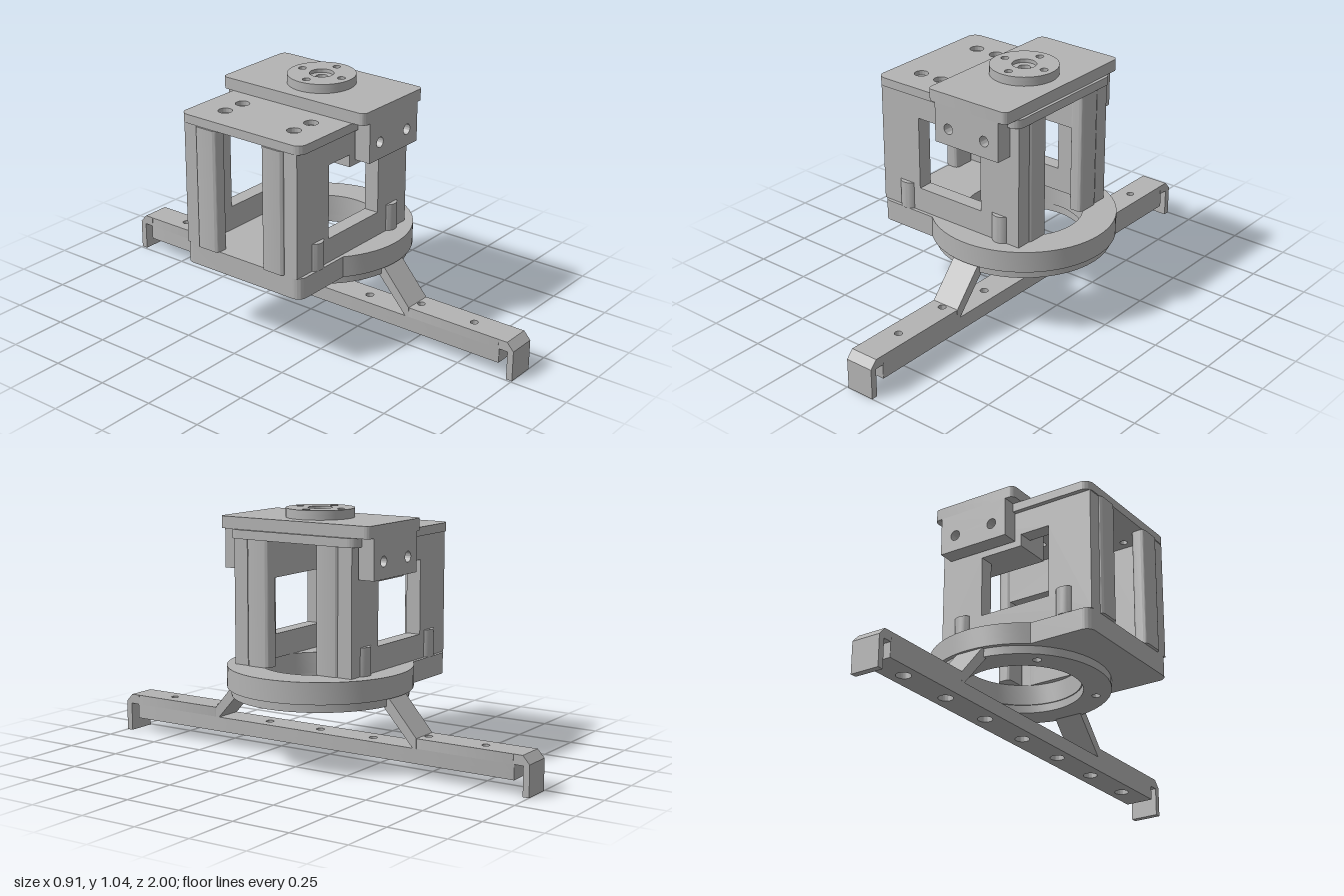
import * as THREE from 'three';
import { toCreasedNormals } from 'three/addons/utils/BufferGeometryUtils.js';

const CX = 0.07; // axis of the ring and the turning disc

export function createModel() {
  const model = new THREE.Group();
  const grey = new THREE.MeshStandardMaterial({ color: 0xb3b3b3 });
  grey.name = 'machined grey';

  const add = (name, geo) => {
    const mesh = new THREE.Mesh(toCreasedNormals(geo, 0.5), grey);
    mesh.name = name;
    model.add(mesh);
    return mesh;
  };
  const extrude = (shape, depth) =>
    new THREE.ExtrudeGeometry(shape, { depth, bevelEnabled: false, curveSegments: 24 });

  // holes are [x, y, radius]
  const drill = (shape, holes) => {
    for (const [x, y, r] of holes) shape.holes.push(new THREE.Path().absarc(x, y, r, 0, Math.PI * 2, true));
    return shape;
  };
  const roundRect = (x0, x1, y0, y1, r) => {
    const s = new THREE.Shape();
    s.moveTo(x0 + r, y0);
    s.lineTo(x1 - r, y0);
    s.absarc(x1 - r, y0 + r, r, -Math.PI / 2, 0, false);
    s.lineTo(x1, y1 - r);
    s.absarc(x1 - r, y1 - r, r, 0, Math.PI / 2, false);
    s.lineTo(x0 + r, y1);
    s.absarc(x0 + r, y1 - r, r, Math.PI / 2, Math.PI, false);
    s.lineTo(x0, y0 + r);
    s.absarc(x0 + r, y0 + r, r, Math.PI, Math.PI * 1.5, false);
    return s;
  };
  const disc = (r) => new THREE.Shape().absarc(CX, 0, r, 0, Math.PI * 2, false);
  const polygon = (pts) => new THREE.Shape(pts.map(([x, y]) => new THREE.Vector2(x, y)));

  // horizontal slab from a plan outline
  const slab = (name, shape, y0, y1) =>
    add(name, extrude(shape, y1 - y0).rotateX(-Math.PI / 2).translate(0, y0, 0));
  const box = (name, x0, x1, y0, y1, z0, z1) =>
    add(name, new THREE.BoxGeometry(x1 - x0, y1 - y0, Math.abs(z1 - z0))
      .translate((x0 + x1) / 2, (y0 + y1) / 2, (z0 + z1) / 2));
  // side profile (z, y) swept across the width of the bar
  const sweep = (name, pts) =>
    add(name, extrude(polygon(pts), 0.125).rotateY(-Math.PI / 2).translate(0.133, 0, 0));

  // base plate: round ring merging into a square block
  const a = Math.asin(0.3 / 0.385);
  const base = new THREE.Shape();
  base.moveTo(-0.405, -0.3);
  base.absarc(CX, 0, 0.385, -(Math.PI - a), Math.PI - a, false);
  base.lineTo(-0.405, 0.3);
  base.absarc(-0.405, 0.26, 0.04, Math.PI / 2, Math.PI, false);
  base.lineTo(-0.445, -0.26);
  base.absarc(-0.405, -0.26, 0.04, Math.PI, Math.PI * 1.5, false);
  slab('basePlate', drill(base, [[CX, 0, 0.245]]), 0.31, 0.4);

  // lower ring with screw holes
  const ringHoles = [[CX, 0, 0.25]];
  for (let i = 0; i < 4; i++) {
    const t = Math.PI / 4 + (i * Math.PI) / 2;
    ringHoles.push([CX + 0.31 * Math.cos(t), 0.31 * Math.sin(t), 0.018]);
  }
  slab('lowerRing', drill(disc(0.367), ringHoles), 0.275, 0.31);

  // long bar with seven counterbored holes
  const barHoles = (r) => [-3, -2, -1, 0, 1, 2, 3].map((i) => [CX, i * 0.259, r]);
  const barPlan = () => roundRect(0.008, 0.133, -0.935, 0.935, 0.002);
  slab('barLower', drill(barPlan(), barHoles(0.03)), 0.06, 0.09);
  slab('barUpper', drill(barPlan(), barHoles(0.017)), 0.09, 0.122);

  // shared hole pattern of the turning axis
  const axisHoles = (r) => [[CX, 0, r], [CX + 0.1, 0, 0.016], [CX - 0.1, 0, 0.016], [CX, 0.1, 0.016], [CX, -0.1, 0.016]];
  // screw holes at the left end of the top plate
  const screwHoles = (r) => [-0.325, -0.22].flatMap((x) => [[x, 0.175, r], [x, -0.175, r]]);

  slab('topPlateLower', drill(roundRect(-0.45, 0.283, -0.305, 0.305, 0.04), [...axisHoles(0.025), ...screwHoles(0.016)]), 0.92, 0.938);
  slab('topPlateUpper', drill(roundRect(-0.45, 0.283, -0.305, 0.305, 0.04), [...axisHoles(0.025), ...screwHoles(0.029)]), 0.938, 0.957);
  slab('coverPlate', drill(roundRect(-0.127, 0.27, -0.362, 0.362, 0.025), axisHoles(0.025)), 0.957, 1.007);
  slab('turningDiscLower', drill(disc(0.141), axisHoles(0.025)), 1.007, 1.03);
  slab('turningDiscUpper', drill(disc(0.141), axisHoles(0.05)), 1.03, 1.045);

  // everything that repeats on the front and the back
  for (const s of [1, -1]) {
    // side wall with stepped window
    const wall = polygon([[-0.445, 0.4], [0.272, 0.4], [0.272, 0.92], [-0.445, 0.92]]);
    wall.holes.push(new THREE.Path([[-0.247, 0.503], [-0.247, 0.817], [-0.115, 0.817], [-0.115, 0.765], [0.078, 0.765], [0.078, 0.503]]
      .map(([x, y]) => new THREE.Vector2(x, y))));
    add('sideWall', extrude(wall, 0.065).translate(0, 0, s > 0 ? 0.22 : -0.285));
    box('innerBlock', -0.115, 0.26, 0.765, 0.92, s * 0.12, s * 0.22);

    // end columns with rounded edges
    const z0 = s > 0 ? 0.115 : -0.222;
    slab('leftEndColumn', roundRect(0.215, 0.278, z0, z0 + 0.107, 0.018), 0.4, 0.92);
    slab('rightEndColumn', roundRect(-0.458, -0.395, z0, z0 + 0.107, 0.018), 0.4, 0.92);

    // round bosses at the foot of the wall, screw boss under the top
    for (const x of [-0.317, 0.173])
      add('wallBoss', new THREE.CylinderGeometry(0.043, 0.043, 0.117, 32).translate(x, 0.458, s * 0.262));
    add('screwBoss', new THREE.CylinderGeometry(0.03, 0.03, 0.08, 24).translate(-0.22, 0.88, s * 0.175));

    // hanging flange of the cover with two holes
    const flange = drill(polygon([[-0.088, 0.79], [0.232, 0.79], [0.232, 0.957], [-0.088, 0.957]]),
      [[-0.02, 0.86, 0.022], [0.161, 0.86, 0.022]]);
    add('coverFlange', extrude(flange, 0.072).translate(0, 0, s > 0 ? 0.29 : -0.362));

    // foot: slanted strut, flat arm and end hook
    sweep('strut', [[0.5, 0.163], [0.5, 0.12], [0.485, 0.12], [0.345, 0.275], [0.345, 0.31], [0.372, 0.31]].map(([z, y]) => [z * s, y]));
    const z1 = s > 0 ? -0.93 : 0.5;
    slab('footArm', drill(roundRect(0.008, 0.133, z1, z1 + 0.43, 0.002), [[CX, -s * 0.52, 0.016], [CX, -s * 0.777, 0.016]]), 0.122, 0.163);
    sweep('endHook', [[0.93, 0.163], [0.97, 0.163], [1, 0.13], [1, 0], [0.973, 0], [0.973, 0.122], [0.93, 0.122]].map(([z, y]) => [z * s, y]));
  }
  return model;
}
